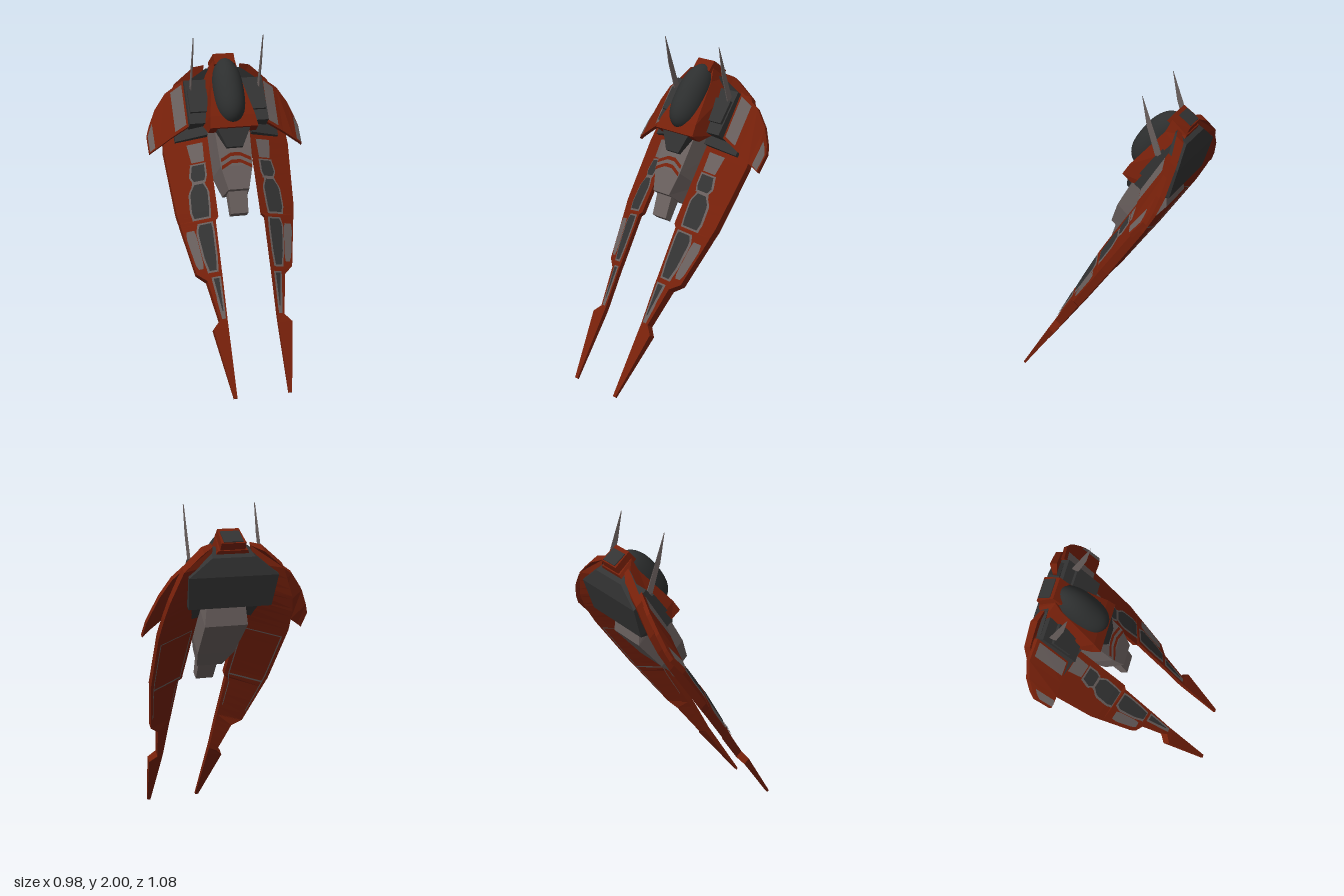
import * as THREE from 'three';

const paint = (name, color) => {
  const m = new THREE.MeshStandardMaterial({ color });
  m.name = name;
  return m;
};
const mix = THREE.MathUtils.lerp;

// Interpolates rows of numbers keyed by their first entry
function sample(rows, k) {
  let i = 0;
  while (i < rows.length - 2 && k > rows[i + 1][0]) i++;
  const a = rows[i], b = rows[i + 1];
  const t = THREE.MathUtils.clamp((k - a[0]) / (b[0] - a[0]), 0, 1);
  return a.map((v, j) => mix(v, b[j], t));
}

// Closed, faceted solid through matching rings of [x, y, z]
function loft(rings) {
  const n = rings[0].length, index = [];
  for (let r = 0; r < rings.length - 1; r++)
    for (let i = 0; i < n; i++) {
      const a = r * n + i, b = r * n + (i + 1) % n;
      index.push(a, b, b + n, a, b + n, a + n);
    }
  const e = (rings.length - 1) * n;
  for (let i = 1; i < n - 1; i++) index.push(0, i + 1, i, e, e + i, e + i + 1);
  const g = new THREE.BufferGeometry();
  g.setAttribute('position', new THREE.Float32BufferAttribute(rings.flat(2), 3));
  g.setIndex(index);
  const flat = g.toNonIndexed();
  flat.computeVertexNormals();
  return flat;
}

// Thin painted sheet: f(s, t) returns a point, s running across and t along
function sheet(f, cols = 3, rows = 10) {
  const g = new THREE.PlaneGeometry(1, 1, cols, rows), p = g.attributes.position;
  for (let i = 0; i < p.count; i++) p.setXYZ(i, ...f(p.getX(i) + 0.5, p.getY(i) + 0.5));
  g.computeVertexNormals();
  return g;
}

// Symmetric body section rows: [y, half width front, half width back, z back, z front]
const taper = rows => loft(rows.map(([y, f, b, z0, z1]) =>
  [[-f, y, z1], [f, y, z1], [b, y, z0], [-b, y, z0]]));

// Blade rows: [y, inner x, outer x, front z inner, front z outer, back z outer]
const BLADE = [
  [0, 0.157, 0.178, 0.014, 0.014, 0], [0.42, 0.155, 0.245, 0.052, 0.045, 0],
  [0.47, 0.155, 0.2, 0.056, 0.05, 0], [0.715, 0.155, 0.243, 0.095, 0.06, 0.005],
  [0.765, 0.155, 0.3, 0.1, 0.045, 0], [1.07, 0.155, 0.357, 0.14, 0.052, 0.005],
  [1.09, 0.136, 0.36, 0.142, 0.053, 0.005], [1.15, 0.136, 0.372, 0.147, 0.055, 0.005],
  [1.56, 0.136, 0.4, 0.17, 0.065, 0.02], [1.7, 0.136, 0.39, 0.175, 0.075, 0.035],
  [1.8, 0.136, 0.37, 0.18, 0.1, 0.06], [1.96, 0.13, 0.3, 0.215, 0.18, 0.134],
  [2.035, 0.115, 0.18, 0.28, 0.255, 0.2]];
const PLATE = 0.032;
const backInner = (zi, zb) => Math.max(zi - PLATE, zb);

// Shoulder rows: [x, low y, low z, high y, high z]
const SHOULDER = [
  [0.25, 1.664, 0.2, 1.964, 0.222], [0.36, 1.617, 0.144, 1.911, 0.158],
  [0.43, 1.58, 0.11, 1.825, 0.109], [0.47, 1.562, 0.086, 1.738, 0.075],
  [0.49, 1.553, 0.071, 1.68, 0.062]];

function bladeSolid() {
  const ys = BLADE.map(r => r[0]);
  for (let y = 0.52; y < 1.95; y += 0.06) ys.push(y);
  return loft(ys.sort((a, b) => a - b).map(k => {
    const [y, xi, xo, zi, zo, zb] = sample(BLADE, k);
    return [[xi, y, zi], [xo, y, zo], [xo, y, zb], [xi, y, backInner(zi, zb)]];
  }));
}

// Panel on the blade's front, rows: [y, inner x, outer x]
function bladePanel(rows, lift, grow = 0) {
  const y0 = rows[0][0] - grow, y1 = rows[rows.length - 1][0] + grow;
  return sheet((s, t) => {
    const y = mix(y0, y1, t);
    const [, a, b] = sample(rows, y);
    const x = mix(a - grow, b + grow, s);
    const [, xi, xo, zi, zo] = sample(BLADE, y);
    return [x, y, mix(zi, zo, (x - xi) / (xo - xi)) + lift];
  });
}

// Stripe on the blade's back between heights y0..y1 and width fractions a..b
const backStripe = (y0, y1, a, b) => sheet((s, t) => {
  const y = mix(y0, y1, t), k = mix(b, a, s);
  const [, xi, xo, zi, , zb] = sample(BLADE, y);
  return [mix(xi, xo, k), y, mix(backInner(zi, zb), zb, k) - 0.004];
});

const shoulderPanel = (x0, x1, t0, t1) => sheet((s, t) => {
  const x = mix(x0, x1, s), k = mix(t0, t1, t);
  const [, yl, zl, yh, zh] = sample(SHOULDER, x);
  return [x, mix(yl, yh, k), mix(zl, zh, k) + 0.006];
}, 6, 4);

export function createModel() {
  const red = paint('rust red', 0x76200a);
  const grey = paint('warm grey', 0x695f5d);
  const dark = paint('charcoal', 0x333333);
  const glass = paint('dark glass', 0x2d2f2f);

  const model = new THREE.Group();
  model.name = 'starfighter';
  // Ship is built upright, then pitched so the blades point forward and down
  const ship = new THREE.Group();
  ship.name = 'ship';
  ship.rotation.x = -Math.asin(0.6);
  ship.position.z = 0.535;
  model.add(ship);

  const add = (parent, name, geometry, material) => {
    const mesh = new THREE.Mesh(geometry, material);
    mesh.name = name;
    parent.add(mesh);
    return mesh;
  };
  const box = (parent, name, material, x0, x1, y0, y1, z0, z1) =>
    add(parent, name, new THREE.BoxGeometry(x1 - x0, y1 - y0, z1 - z0), material)
      .position.set((x0 + x1) / 2, (y0 + y1) / 2, (z0 + z1) / 2);

  // Central body
  add(ship, 'fuselage', taper([[1.23, 0.065, 0.08, 0.08, 0.215], [1.37, 0.1, 0.115, 0.05, 0.25],
    [1.62, 0.11, 0.132, 0.03, 0.28], [1.7, 0.11, 0.12, 0.1, 0.28]]), grey);
  add(ship, 'noseGun', taper([[1.1, 0.055, 0.055, 0.09, 0.14], [1.26, 0.06, 0.06, 0.11, 0.19]]), grey);
  add(ship, 'chinWedge', taper([[1.48, 0.05, 0.055, 0.2, 0.285], [1.6, 0.11, 0.11, 0.2, 0.335]]), dark);
  add(ship, 'cockpitCowl', taper([[1.585, 0.15, 0.15, 0.27, 0.345], [1.66, 0.14, 0.16, 0.2, 0.35],
    [1.95, 0.085, 0.13, 0.2, 0.325], [2.03, 0.07, 0.09, 0.22, 0.34]]), red);

  // Blunt-ended canopy
  const profile = [];
  for (let i = 0; i <= 20; i++) {
    const h = -Math.cos(i / 20 * Math.PI);
    profile.push(new THREE.Vector2(Math.sqrt(Math.max(0, 1 - Math.abs(h) ** (h < 0 ? 3 : 2.2))), h));
  }
  const canopy = add(ship, 'canopy', new THREE.LatheGeometry(profile, 28), glass);
  canopy.scale.set(0.095, 0.215, 0.11);
  canopy.position.set(0, 1.83, 0.33);

  add(ship, 'tailHousing', taper([[2, 0.065, 0.075, 0.22, 0.36], [2.072, 0.065, 0.075, 0.235, 0.355]]), red);
  box(ship, 'tailPort', dark, -0.058, 0.058, 2.07, 2.077, 0.242, 0.33);
  add(ship, 'engineBlock', taper([[1.7, 0.24, 0.23, 0.1, 0.2], [1.75, 0.25, 0.25, 0.05, 0.2],
    [1.93, 0.27, 0.27, 0.115, 0.2], [2.01, 0.11, 0.13, 0.185, 0.28]]), dark);

  // One half, mirrored for the other side
  const half = new THREE.Group();
  half.name = 'leftHalf';
  add(half, 'blade', bladeSolid(), red);
  add(half, 'shoulderPlate', loft(SHOULDER.map(([x, yl, zl, yh, zh]) =>
    [[x, yh, zh], [x, yl, zl], [x, yl, zl - 0.025], [x, yh, zh - 0.025]])), red);
  add(half, 'shoulderRoot', loft([[0.14, 1.6, 1.8, 0.13, 0.21], [0.33, 1.6, 1.75, 0.08, 0.12]]
    .map(([x, yl, yh, zb, zf]) => [[x, yh, zf], [x, yl, zf], [x, yl, zb], [x, yh, zb]])), dark);
  box(half, 'sideBlock', dark, 0.1, 0.25, 1.66, 1.95, 0.16, 0.25);
  box(half, 'sideBlockLid', dark, 0.12, 0.24, 1.73, 1.88, 0.24, 0.268);

  // Antenna blade
  const fin = [[2.095, 0.54], [1.977, 0.414], [1.868, 0.262], [1.908, 0.25], [2.005, 0.41]];
  add(half, 'antenna', loft([0.214, 0.22].map(x => fin.map(([y, z]) => [x, y, z]))), grey);

  // Painted panels: dark fields with a grey border, then plain grey fields
  [[[1.33, 0.19, 0.25], [1.36, 0.18, 0.265], [1.43, 0.18, 0.25]],
    [[1.1, 0.19, 0.275], [1.14, 0.185, 0.285], [1.26, 0.18, 0.28], [1.31, 0.2, 0.25]],
    [[0.77, 0.185, 0.225], [0.85, 0.18, 0.245], [1.02, 0.18, 0.265], [1.055, 0.185, 0.25]],
    [[0.52, 0.175, 0.18], [0.72, 0.177, 0.208]]].forEach(rows => {
    add(half, 'panelBorder', bladePanel(rows, 0.004, 0.011), grey);
    add(half, 'darkPanel', bladePanel(rows, 0.008), dark);
  });
  add(half, 'upperPanel', bladePanel([[1.45, 0.175, 0.25], [1.57, 0.17, 0.265]], 0.005), grey);
  add(half, 'lowerPanel', bladePanel([[0.475, 0.165, 0.188], [0.6, 0.165, 0.205]], 0.0045), grey);
  add(half, 'outerPanel', bladePanel([[0.79, 0.258, 0.285], [0.82, 0.255, 0.3],
    [0.99, 0.275, 0.333], [1.03, 0.285, 0.33]], 0.005), grey);
  add(half, 'shoulderPanel', shoulderPanel(0.262, 0.33, 0.06, 0.93), grey);
  add(half, 'shoulderTrim', shoulderPanel(0.455, 0.487, 0.04, 0.85), grey);

  // Thin outline on the blade's back
  [[0.85, 1.5, 0.9, 0.925], [0.85, 1.5, 0.08, 0.105], [1.495, 1.502, 0.08, 0.925],
    [1.11, 1.122, 0.08, 0.925]].forEach(r => add(half, 'backOutline', backStripe(...r), grey));

  // Chevron strokes on the nose
  [1.385, 1.43].forEach(y0 => add(half, 'chevron', sheet((s, t) => {
    const x = 0.094 * s, y = y0 - 0.05 * Math.max(0, s - 0.3) + 0.022 * t;
    return [x, y, sample([[1.23, 0.215], [1.37, 0.25], [1.62, 0.28]], y)[1] + 0.004];
  }, 10, 4), red));
  ship.add(half);

  const other = half.clone();
  other.name = 'rightHalf';
  other.scale.x = -1;
  ship.add(other);
  return model;
}
